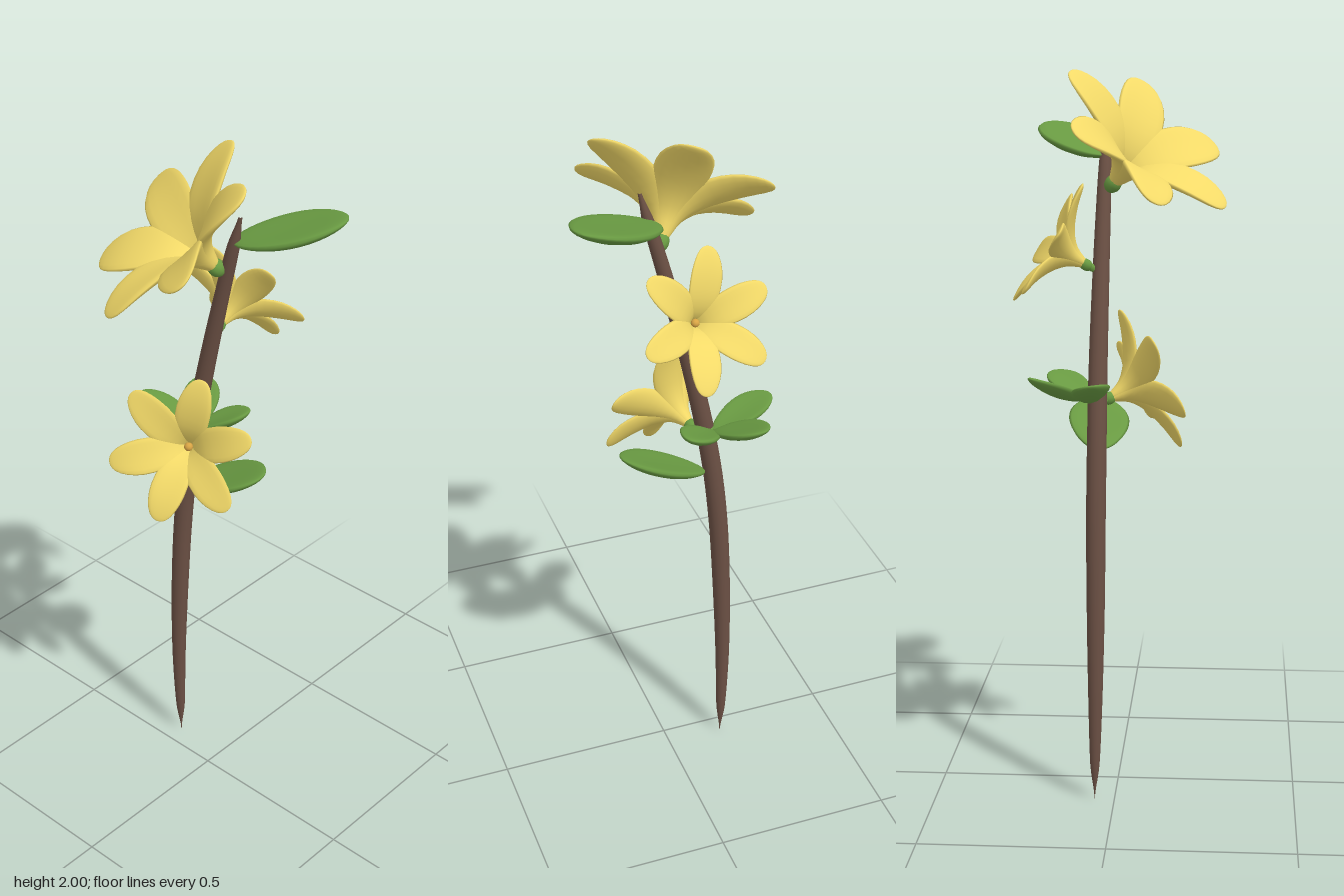
import * as THREE from 'three';
import { mergeVertices } from 'three/addons/utils/BufferGeometryUtils.js';

const V = (x, y, z) => new THREE.Vector3(x, y, z);
const mat = (color) => new THREE.MeshStandardMaterial({ color });

const bark = mat(0x6b5044);
const green = mat(0x699a42);
const yellow = mat(0xf2d968);
const orange = mat(0xd9a545);

function part(name, geometry, material) {
  const mesh = new THREE.Mesh(geometry, material);
  mesh.name = name;
  return mesh;
}

// Orients an object so its local x follows dir and its local y leans to up
function orient(object, dir, up) {
  const x = dir.clone().normalize();
  const y = up.clone().addScaledVector(x, -up.dot(x)).normalize();
  object.quaternion.setFromRotationMatrix(new THREE.Matrix4().makeBasis(x, y, x.clone().cross(y)));
}

// A sphere stretched along a spine in the xy plane, flattened, cupped and
// narrowed at base (taper) and tip (point) into a petal or leaf
function bladeGeometry(spine, { halfWidth, halfThick, cup, taper, point }) {
  let geo = new THREE.SphereGeometry(1, 16, 18).rotateZ(-Math.PI / 2);
  const pos = geo.attributes.position;
  for (let i = 0; i < pos.count; i++) {
    const t = THREE.MathUtils.clamp((pos.getX(i) + 1) / 2, 0, 1);
    const p = spine.getPoint(t);
    const d = spine.getTangent(t);
    const side = pos.getZ(i);
    const lift = pos.getY(i) * halfThick + cup * side * side;
    const width = halfWidth * (1 - taper + taper * t * 1.4) * (1 - point * t ** 4);
    pos.setXYZ(i, p.x - d.y * lift, p.y + d.x * lift, side * width);
  }
  geo.deleteAttribute('uv');
  geo.deleteAttribute('normal');
  geo = mergeVertices(geo, 1e-5);
  geo.computeVertexNormals();
  return geo;
}

// Stem stations: x, y, z, radius
const stations = [
  [0.055, 0, -0.163, 0], [0.054, 0.1, -0.165, 0.013], [0.052, 0.3, -0.167, 0.02],
  [0.051, 0.55, -0.16, 0.025], [0.051, 0.8, -0.145, 0.027], [0.05, 1.0, -0.122, 0.027],
  [0.049, 1.2, -0.085, 0.026], [0.046, 1.4, -0.04, 0.024], [0.042, 1.6, 0.01, 0.021],
  [0.038, 1.76, 0.053, 0.017], [0.036, 1.85, 0.078, 0.005],
];
const stemLine = new THREE.CatmullRomCurve3(stations.map(([x, y, z]) => V(x, y, z)));
const stemRadius = new THREE.SplineCurve(stations.map((s) => new THREE.Vector2(s[3], s[1])));

// Lathe whose rings are shifted onto the stem line
function makeStem() {
  const rings = 50;
  const line = stemLine.getPoints(rings);
  const radii = stemRadius.getPoints(rings);
  const geo = new THREE.LatheGeometry(
    line.map((p, i) => new THREE.Vector2(Math.max(radii[i].x, 0.0005), p.y)), 14);
  const pos = geo.attributes.position;
  for (let i = 0; i < pos.count; i++) {
    const c = line[i % (rings + 1)];
    pos.setXYZ(i, pos.getX(i) + c.x, pos.getY(i), pos.getZ(i) + c.z);
  }
  geo.computeVertexNormals();
  return part('stem', geo, bark);
}

// Petal spine as distance from the axis and height, for a flower of radius 1
const petalSpine = new THREE.SplineCurve([
  [0.03, 0], [0.12, 0.25], [0.34, 0.44], [0.68, 0.57], [1, 0.62],
].map(([r, h]) => new THREE.Vector2(r, h)));

function makeFlower(name, { base, axis, firstTip, radius, halfWidth }) {
  const flower = new THREE.Group();
  flower.name = name;
  flower.position.copy(base);
  const up = axis.clone().normalize();
  const out = firstTip.clone().sub(base);
  out.addScaledVector(up, -out.dot(up));
  orient(flower, out, up);
  flower.scale.setScalar(radius);

  const petal = bladeGeometry(petalSpine,
    { halfWidth, halfThick: 0.055, cup: 0.05, taper: 0.72, point: 0.38 });
  for (let i = 0; i < 6; i++) {
    const mesh = part('petal', petal, yellow);
    mesh.rotation.y = (i * Math.PI) / 3;
    flower.add(mesh);
  }
  const heart = part('flowerCentre', new THREE.SphereGeometry(0.06, 12, 8), orange);
  heart.position.y = 0.24;
  const calyx = part('calyx', new THREE.SphereGeometry(0.085, 12, 8), green);
  calyx.scale.y = 1.2;
  flower.add(heart, calyx);
  return flower;
}

// Short green stalk between two points
function makeStalk(from, to) {
  const dir = to.clone().sub(from);
  const stalk = part('stalk', new THREE.CylinderGeometry(0.011, 0.011, dir.length(), 8), green);
  stalk.position.copy(from).add(to).multiplyScalar(0.5);
  stalk.quaternion.setFromUnitVectors(V(0, 1, 0), dir.normalize());
  return stalk;
}

// Leaf that sags a little between its base and tip
function makeLeaf(name, base, tip, up, halfWidth, halfThick, taper) {
  const dir = tip.clone().sub(base);
  const len = dir.length();
  const spine = new THREE.QuadraticBezierCurve(
    new THREE.Vector2(0, 0), new THREE.Vector2(len * 0.5, -len * 0.1), new THREE.Vector2(len, 0));
  const blade = bladeGeometry(spine, { halfWidth, halfThick, cup: 0.016, taper, point: 0.2 });
  const leaf = part(name, blade, green);
  leaf.position.copy(base);
  orient(leaf, dir, up);
  return leaf;
}

export function createModel() {
  const model = new THREE.Group();
  model.name = 'floweringTwig';
  model.add(makeStem());

  model.add(
    makeFlower('topFlower', {
      base: V(0.015, 1.695, 0.015), axis: V(-0.57, 0.71, -0.41),
      firstTip: V(0.13, 2.0, -0.035), radius: 0.275, halfWidth: 0.32,
    }),
    makeFlower('middleFlower', {
      base: V(0.085, 1.48, -0.035), axis: V(0.85, 0.5, -0.12),
      firstTip: V(0.095, 1.69, -0.085), radius: 0.192, halfWidth: 0.28,
    }),
    makeFlower('lowerFlower', {
      base: V(0.02, 1.12, -0.07), axis: V(-0.85, 0.37, 0.37),
      firstTip: V(0, 1.365, -0.015), radius: 0.207, halfWidth: 0.29,
    }),
    makeStalk(V(0.04, 1.69, 0.035), V(0.015, 1.695, 0.015)),
    makeStalk(V(0.045, 1.46, -0.025), V(0.085, 1.48, -0.035)),
    makeStalk(V(0.05, 1.11, -0.1), V(0.02, 1.12, -0.07)),
  );

  // Two broad single leaves
  model.add(
    makeLeaf('topLeaf', V(0.045, 1.77, 0.045), V(0.205, 1.855, 0.29), V(0, 1, 0), 0.105, 0.02, 0.15),
    makeLeaf('lowerLeaf', V(0.05, 0.985, -0.1), V(0.06, 1.085, 0.145), V(-0.12, 1, 0), 0.092, 0.018, 0.25),
  );

  // Cluster of three small leaves
  const knot = V(0.075, 1.125, -0.115);
  const tips = [V(0.045, 1.19, -0.295), V(0.222, 1.195, -0.215), V(0.18, 1.185, -0.005)];
  model.add(makeStalk(V(0.05, 1.11, -0.105), knot));
  for (const tip of tips) model.add(makeLeaf('smallLeaf', knot, tip, V(0.1, 1, -0.05), 0.058, 0.015, 0.35));
  return model;
}
